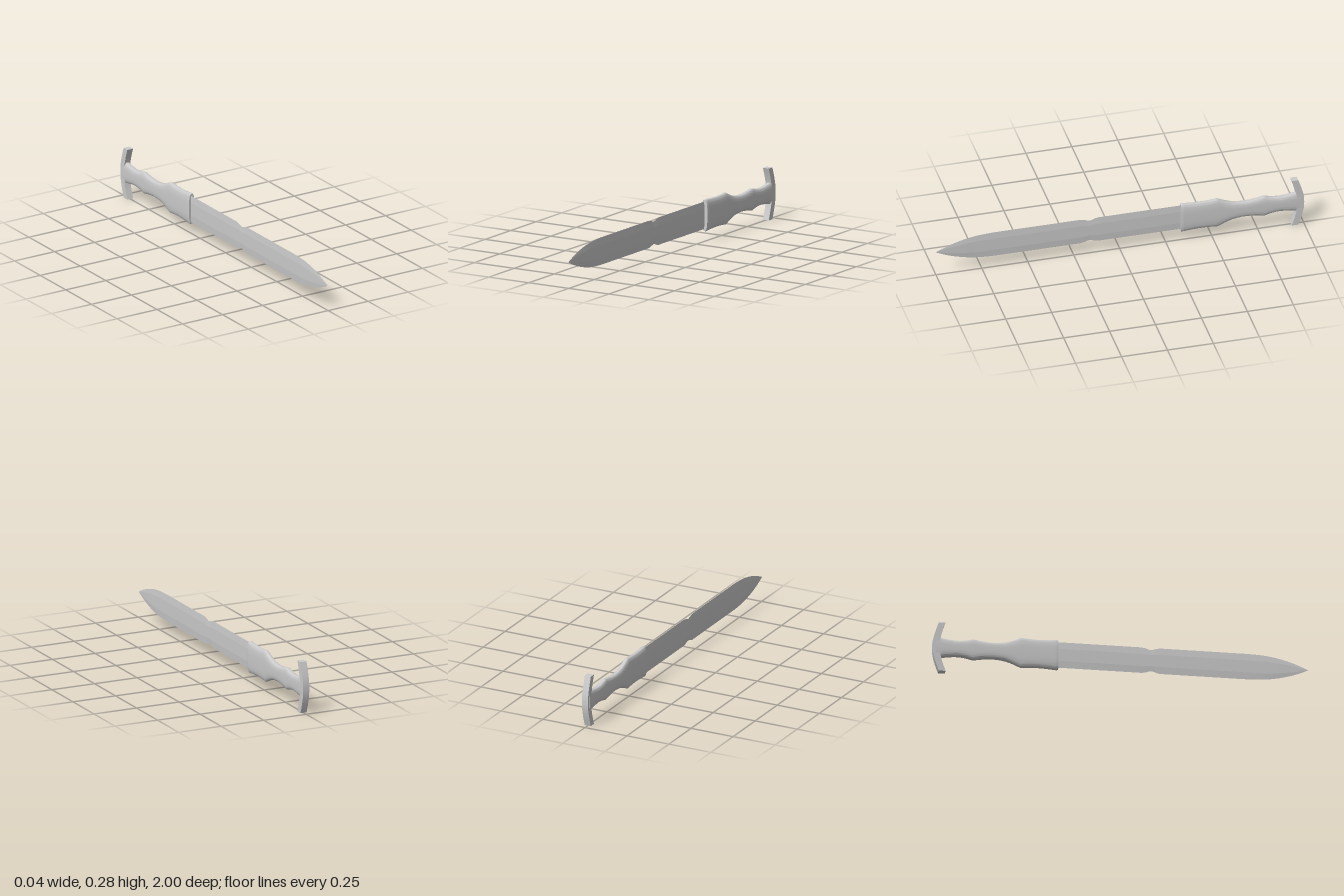
import * as THREE from 'three';
import { toCreasedNormals } from 'three/addons/utils/BufferGeometryUtils.js';

const MID = 0.14; // height of the sword's long axis

// Skins a series of cross-sections running towards +z; each section is
// { z, points: [[x, y], ...] }, counter-clockwise seen from the front.
function loft(sections, crease) {
  const n = sections[0].points.length;
  const pos = [];
  const idx = [];
  for (const s of sections) for (const [x, y] of s.points) pos.push(x, y + MID, s.z);
  for (let i = 0; i < sections.length - 1; i++) {
    for (let j = 0; j < n; j++) {
      const a = i * n + j, b = i * n + (j + 1) % n;
      idx.push(a, b, b + n, a, b + n, a + n);
    }
  }
  // end caps
  const last = sections.length - 1;
  for (const [k, front] of [[0, false], [last, true]]) {
    const c = pos.length / 3;
    pos.push(sections[k].points.reduce((t, p) => t + p[0], 0) / n, MID, sections[k].z);
    for (let j = 0; j < n; j++) {
      const a = k * n + j, b = k * n + (j + 1) % n;
      if (front) idx.push(c, a, b);
      else idx.push(c, b, a);
    }
  }
  const g = new THREE.BufferGeometry();
  g.setAttribute('position', new THREE.Float32BufferAttribute(pos, 3));
  g.setIndex(idx);
  return toCreasedNormals(g, crease);
}

// Smooth half-height curve between two sharp ridges of the grip
function curveRun(points, steps) {
  const c = new THREE.SplineCurve(points.map(([z, h]) => new THREE.Vector2(z, h)));
  return c.getPoints(steps).map((p) => [p.x, p.y]);
}

function gripSection(z, h, w) {
  const points = [];
  const N = 40;
  for (let i = 0; i < N; i++) {
    const a = (i / N) * Math.PI * 2;
    const c = Math.cos(a), s = Math.sin(a);
    points.push([
      w * Math.sign(c) * Math.abs(c) ** (2 / 3),
      h * Math.sign(s) * Math.abs(s) ** (2 / 3),
    ]);
  }
  return { z, points };
}

// Flat-faced blade with a bevel to each cutting edge
function bladeSection(z, h) {
  const x0 = -0.003;
  const t = 0.003 * Math.min(1, h / 0.06);
  const f = Math.min(0.035, h * 0.5);
  return { z, points: [[x0 + t, -f], [x0 + t, f], [x0, h], [x0 - t, f], [x0 - t, -f], [x0, -h]] };
}

export function createModel() {
  const group = new THREE.Group();
  const material = new THREE.MeshStandardMaterial({ color: 0xcccccc });
  const add = (name, geometry) => {
    const mesh = new THREE.Mesh(geometry, material);
    mesh.name = name;
    group.add(mesh);
  };

  // Blade: straight edges, a pair of small notches, leaf-shaped point
  const tip = curveRun([[0.68, 0.074], [0.77, 0.069], [0.85, 0.055], [0.93, 0.031], [1, 0.0005]], 20);
  const edge = [
    [-0.36, 0.074], [0.115, 0.074], [0.135, 0.07], [0.15, 0.064], [0.163, 0.061],
    [0.176, 0.064], [0.19, 0.069], [0.21, 0.074], ...tip,
  ];
  add('blade', loft(edge.map(([z, h]) => bladeSection(z, h)), 0.03));

  // Grip: two waisted hand sections and a sleeve around the blade's root
  const grip = [
    ...curveRun([[-0.98, 0.066], [-0.95, 0.056], [-0.88, 0.046], [-0.83, 0.049], [-0.785, 0.06]], 16),
    ...curveRun([[-0.785, 0.06], [-0.72, 0.049], [-0.66, 0.047], [-0.6, 0.057], [-0.53, 0.086]], 20).slice(1),
    ...curveRun([[-0.53, 0.086], [-0.46, 0.081], [-0.4, 0.082], [-0.338, 0.087]], 12).slice(1),
  ];
  const gripSections = grip.map(([z, h]) => gripSection(z, h, 0.019));
  gripSections.push(gripSection(-0.331, 0.084, 0.0175));
  add('grip', loft(gripSections, 0.5));

  // Pommel: crescent bar with both arms swept towards the blade
  const v = (z, y) => new THREE.Vector2(z, y + MID);
  const shape = new THREE.Shape();
  shape.moveTo(-0.932, 0);
  shape.splineThru([v(-0.95, -0.085), v(-0.96, -0.04), v(-0.962, 0), v(-0.96, 0.04), v(-0.95, 0.085), v(-0.932, 0.14)]);
  shape.lineTo(-0.968, 0.28);
  shape.splineThru([v(-0.988, 0.08), v(-0.998, 0.035), v(-1, 0), v(-0.998, -0.035), v(-0.988, -0.08), v(-0.968, -0.14)]);
  shape.closePath();
  const bar = new THREE.ExtrudeGeometry(shape, { depth: 0.036, bevelEnabled: false, curveSegments: 4 });
  bar.translate(0, 0, -0.018).rotateY(-Math.PI / 2);
  add('pommel', toCreasedNormals(bar, 0.5));

  return group;
}
